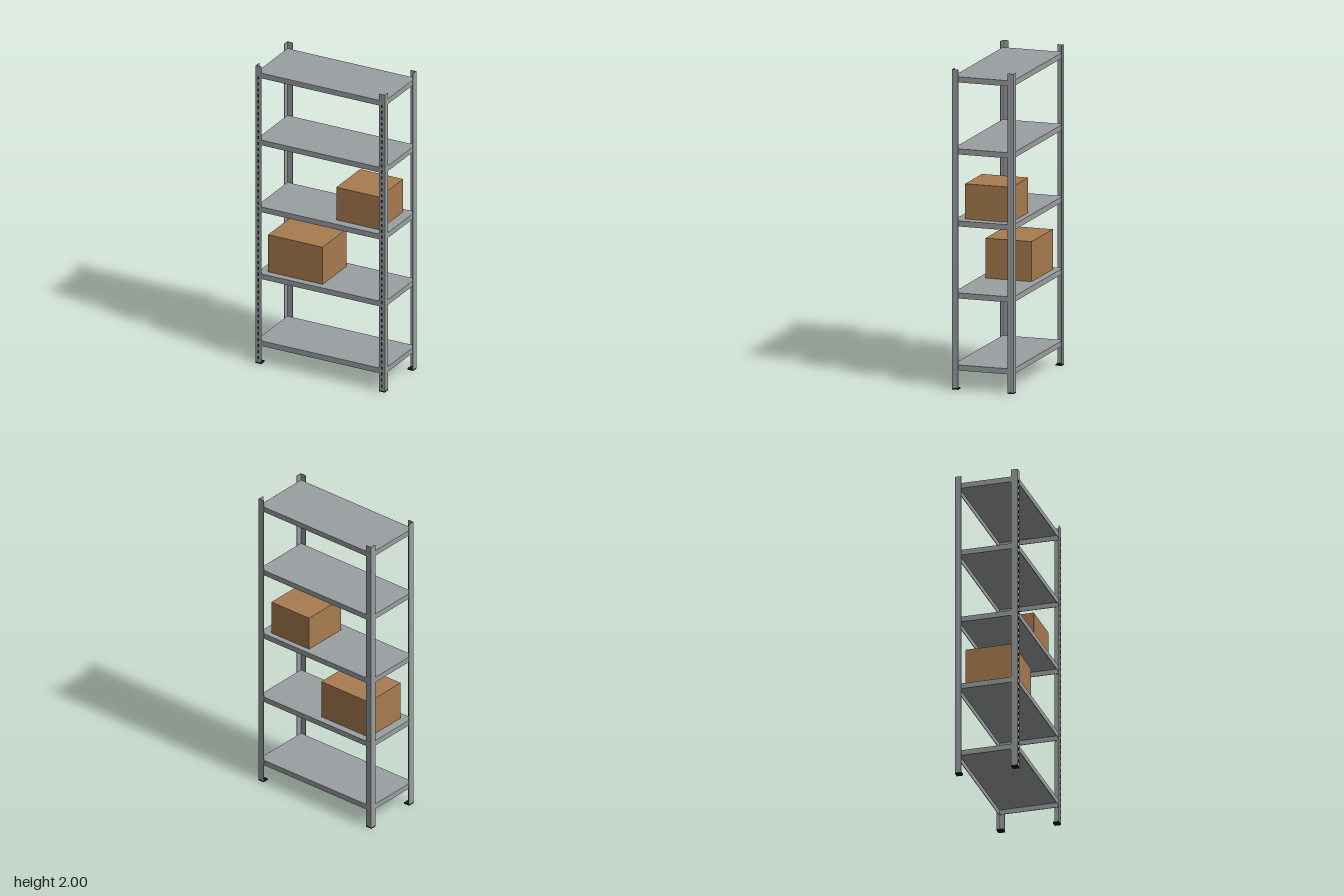
import * as THREE from 'three';

const W = 0.45, D = 0.2;        // half width and half depth of the frame
const FLANGE = 0.04, T = 0.004; // angle profile leg and sheet thickness
const LIP = 0.035;              // shelf edge height

export function createModel() {
  const steel = new THREE.MeshStandardMaterial({ color: 0x9a9fa1 });
  steel.name = 'grey steel';
  const black = new THREE.MeshStandardMaterial({ color: 0x1c1c1c });
  black.name = 'black plastic';
  const card = new THREE.MeshStandardMaterial({ color: 0xa87b4f });
  card.name = 'brown cardboard';

  const model = new THREE.Group();
  model.name = 'shelvingUnit';

  const box = (parent, name, material, size, pos) => {
    const mesh = new THREE.Mesh(new THREE.BoxGeometry(...size), material);
    mesh.name = name;
    mesh.position.set(...pos);
    parent.add(mesh);
    return mesh;
  };

  // Corner posts: L-shaped angle profile with a foot pad
  for (const sx of [-1, 1]) {
    for (const sz of [-1, 1]) {
      const post = new THREE.Group();
      post.name = (sz > 0 ? 'front' : 'back') + (sx > 0 ? 'Left' : 'Right') + 'Post';
      model.add(post);

      const corners = [[0, 0], [FLANGE, 0], [FLANGE, T], [T, T], [T, FLANGE], [0, FLANGE]];
      const profile = new THREE.Shape(
        corners.map(([a, b]) => new THREE.Vector2(sx * (W - a), -sz * (D - b))));
      const geometry = new THREE.ExtrudeGeometry(profile, { depth: 1.992, bevelEnabled: false });
      geometry.rotateX(-Math.PI / 2).translate(0, 0.008, 0);
      const angle = new THREE.Mesh(geometry, steel);
      angle.name = 'angleProfile';
      post.add(angle);

      box(post, 'footPad', black, [FLANGE, 0.01, FLANGE],
        [sx * (W - FLANGE / 2), 0.005, sz * (D - FLANGE / 2)]);

      // Row of slots on the front flange
      if (sz > 0) {
        for (let i = 0; i < 48; i++) {
          box(post, 'slot', black, [0.01, 0.02, 0.002],
            [sx * (W - FLANGE / 2), 0.04 + i * 0.04, D]);
        }
      }
    }
  }

  // Shelves: sheet trays with lips turned down on all four edges
  const hw = W - T, hd = D - T;
  for (let i = 0; i < 5; i++) {
    const top = 0.155 + i * 0.45;
    const shelf = new THREE.Group();
    shelf.name = 'shelf' + (i + 1);
    shelf.position.y = top;
    model.add(shelf);
    box(shelf, 'panel', steel, [2 * hw, T, 2 * hd], [0, -T / 2, 0]);
    const drop = LIP - T, y = -T - drop / 2;
    for (const s of [-1, 1]) {
      box(shelf, s > 0 ? 'frontLip' : 'backLip', steel, [2 * hw, drop, T], [0, y, s * (hd - T / 2)]);
      box(shelf, s > 0 ? 'leftLip' : 'rightLip', steel, [T, drop, 2 * (hd - T)], [s * (hw - T / 2), y, 0]);
    }
  }

  // Cardboard boxes resting on the second and third shelves
  box(model, 'largeCarton', card, [0.38, 0.25, 0.3], [-0.2, 0.605 + 0.125, 0]);
  box(model, 'smallCarton', card, [0.3, 0.22, 0.3], [0.23, 1.055 + 0.11, -0.01]);

  return model;
}
